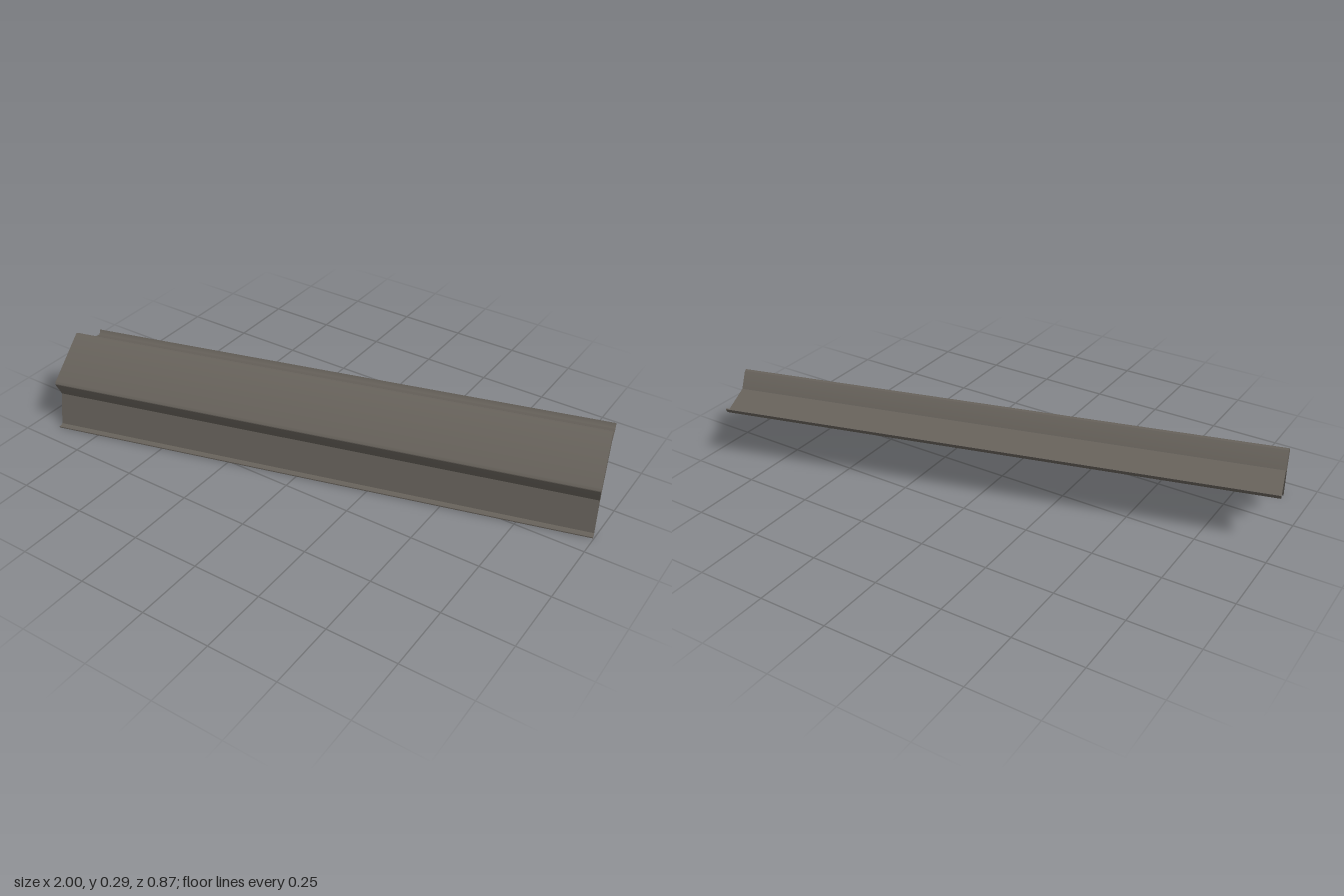
import * as THREE from 'three';
import { toCreasedNormals } from 'three/addons/utils/BufferGeometryUtils.js';

const LENGTH = 1.967;

// Extrudes a cross-section along x, centred on the given x
function alongX(shape, length, x = 0) {
  const geo = new THREE.ExtrudeGeometry(shape, { depth: length, bevelEnabled: false, curveSegments: 12 });
  geo.translate(0, 0, -length / 2).rotateY(Math.PI / 2).translate(x, 0, 0);
  return toCreasedNormals(geo, 0.6);
}

export function createModel() {
  const model = new THREE.Group();
  model.name = 'tubeLightFixture';
  const bronze = new THREE.MeshStandardMaterial({ color: 0x67625b });
  bronze.name = 'bronze painted steel';
  const grey = new THREE.MeshStandardMaterial({ color: 0xa0a0a0 });
  grey.name = 'grey tube';

  // The fixture is tilted about its own length
  const fixture = new THREE.Group();
  fixture.name = 'fixture';
  fixture.position.set(0, 0.1755, 0.0367);
  fixture.rotation.x = Math.PI / 6;
  model.add(fixture);
  model.rotation.y = Math.PI / 12;

  const add = (name, geo, material) => {
    const mesh = new THREE.Mesh(geo, material);
    mesh.name = name;
    fixture.add(mesh);
    return mesh;
  };

  // Closed housing with two rounded upper edges
  const w = 0.112, h = 0.077, r = 0.011;
  const box = new THREE.Shape();
  box.moveTo(-w, 0);
  box.lineTo(w, 0);
  box.lineTo(w, h - r);
  box.absarc(w - r, h - r, r, 0, Math.PI / 2, false);
  box.absarc(-w + r, h - r, r, Math.PI / 2, Math.PI, false);
  box.closePath();
  add('housing', alongX(box, LENGTH), bronze);

  for (const s of [1, -1]) {
    const side = s > 0 ? 'front' : 'back';

    // Flared reflector wing with a folded lip
    const wing = new THREE.Shape([
      [0.112, 0.003], [0.194, -0.0825], [0.199, -0.0825], [0.2125, -0.0745],
      [0.2145, -0.078], [0.2, -0.0865], [0.194, -0.0875], [0.107, 0],
    ].map(([t, n]) => new THREE.Vector2(-s * t, n)));
    add(side + 'Reflector', alongX(wing, LENGTH), bronze);

    // Lamp tube
    const z = s * 0.0515, n = -0.045;
    const tube = new THREE.CylinderGeometry(0.031, 0.031, 1.86, 32);
    tube.rotateZ(Math.PI / 2).translate(0, n, z);
    add(side + 'Tube', tube, grey);

    // Round-bottomed sockets and contact pins at both ends
    for (const e of [1, -1]) {
      const end = e > 0 ? 'Left' : 'Right';
      const socket = new THREE.Shape();
      socket.moveTo(-z - 0.033, 0);
      socket.absarc(-z, n, 0.033, Math.PI, Math.PI * 2, false);
      socket.lineTo(-z + 0.033, 0);
      socket.closePath();
      add(side + end + 'Socket', alongX(socket, 0.024, e * 0.952), grey);
      for (const p of [1, -1]) {
        const pin = new THREE.CylinderGeometry(0.003, 0.003, 0.02, 8);
        pin.rotateZ(Math.PI / 2).translate(e * 0.935, n, z + p * 0.012);
        add(side + end + 'Pin', pin, grey);
      }
    }
  }

  const root = new THREE.Group();
  root.name = 'tubeLight';
  root.add(model);
  return root;
}
